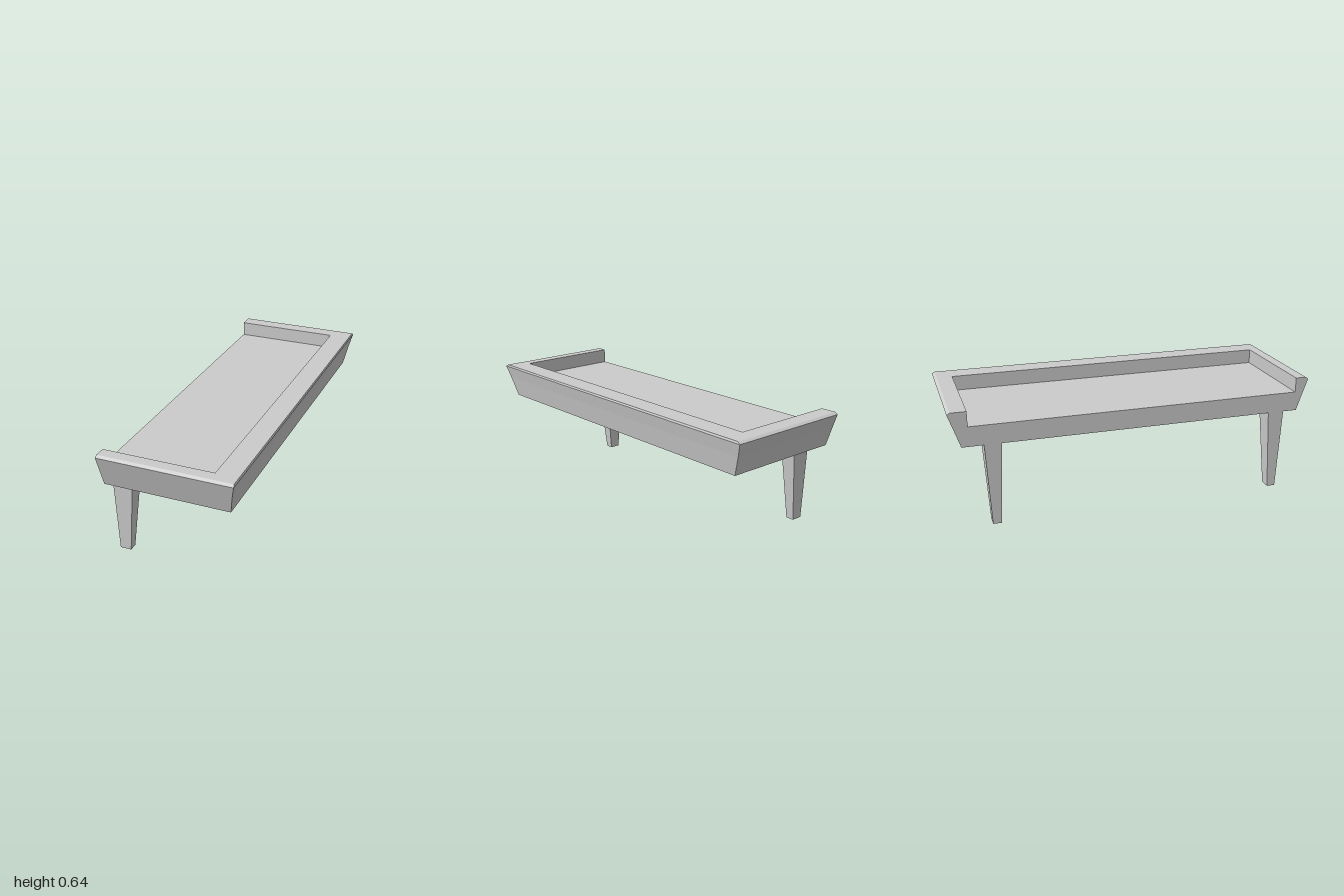
import * as THREE from 'three';

const material = new THREE.MeshStandardMaterial({ color: 0xcccccc, flatShading: true });
const OPEN_X = -0.36; // flat, open side of the tray

// Corners of a rectangle in (x, z), starting on the flat side
const rect = (x1, z0, z1) => [[OPEN_X, z0], [x1, z0], [x1, z1], [OPEN_X, z1]];

// Closed solid skinned through rings of [x, z] corners, listed from the bottom up
function loft(name, levels) {
  const pos = [];
  const tri = (...pts) => pts.forEach(p => pos.push(...p));
  const rings = levels.map(([y, ring]) => ring.map(([x, z]) => [x, y, z]));
  const n = rings[0].length;
  for (let k = 0; k < rings.length - 1; k++) {
    const lo = rings[k], hi = rings[k + 1];
    for (let i = 0; i < n; i++) {
      const j = (i + 1) % n;
      tri(lo[i], hi[j], lo[j]);
      tri(lo[i], hi[i], hi[j]);
    }
  }
  const cap = (ring, up) => {
    const flat = ring.map(([x, , z]) => new THREE.Vector2(x, z));
    for (const [a, b, c] of THREE.ShapeUtils.triangulateShape(flat, [])) {
      if (up) tri(ring[a], ring[c], ring[b]);
      else tri(ring[a], ring[b], ring[c]);
    }
  };
  cap(rings[0], false);
  cap(rings[rings.length - 1], true);
  const geometry = new THREE.BufferGeometry();
  geometry.setAttribute('position', new THREE.Float32BufferAttribute(pos, 3));
  geometry.computeVertexNormals();
  const mesh = new THREE.Mesh(geometry, material);
  mesh.name = name;
  return mesh;
}

export function createModel() {
  const group = new THREE.Group();
  group.name = 'trayTable';

  // Flared slab whose top is the tray floor
  group.add(loft('traySlab', [
    [0.452, rect(0.318, -0.938, 0.938)],
    [0.56, rect(0.34, -0.975, 0.975)],
  ]));

  // U-shaped rim around the recess, with a small chamfer on its outer top edge
  const rimRing = (x1, z) => [
    ...rect(x1, -z, z),
    [OPEN_X, 0.925], [0.235, 0.925], [0.235, -0.9], [OPEN_X, -0.9],
  ];
  group.add(loft('trayRim', [
    [0.56, rimRing(0.34, 0.975)],
    [0.632, rimRing(0.358, 1)],
    [0.642, rimRing(0.354, 0.984)],
  ]));

  // Tapered legs, flush with the open side
  for (const [name, z] of [['frontLeg', 0.813], ['backLeg', -0.778]]) {
    group.add(loft(name, [
      [0, rect(-0.298, z - 0.023, z + 0.023)],
      [0.452, rect(-0.247, z - 0.046, z + 0.046)],
    ]));
  }
  return group;
}
